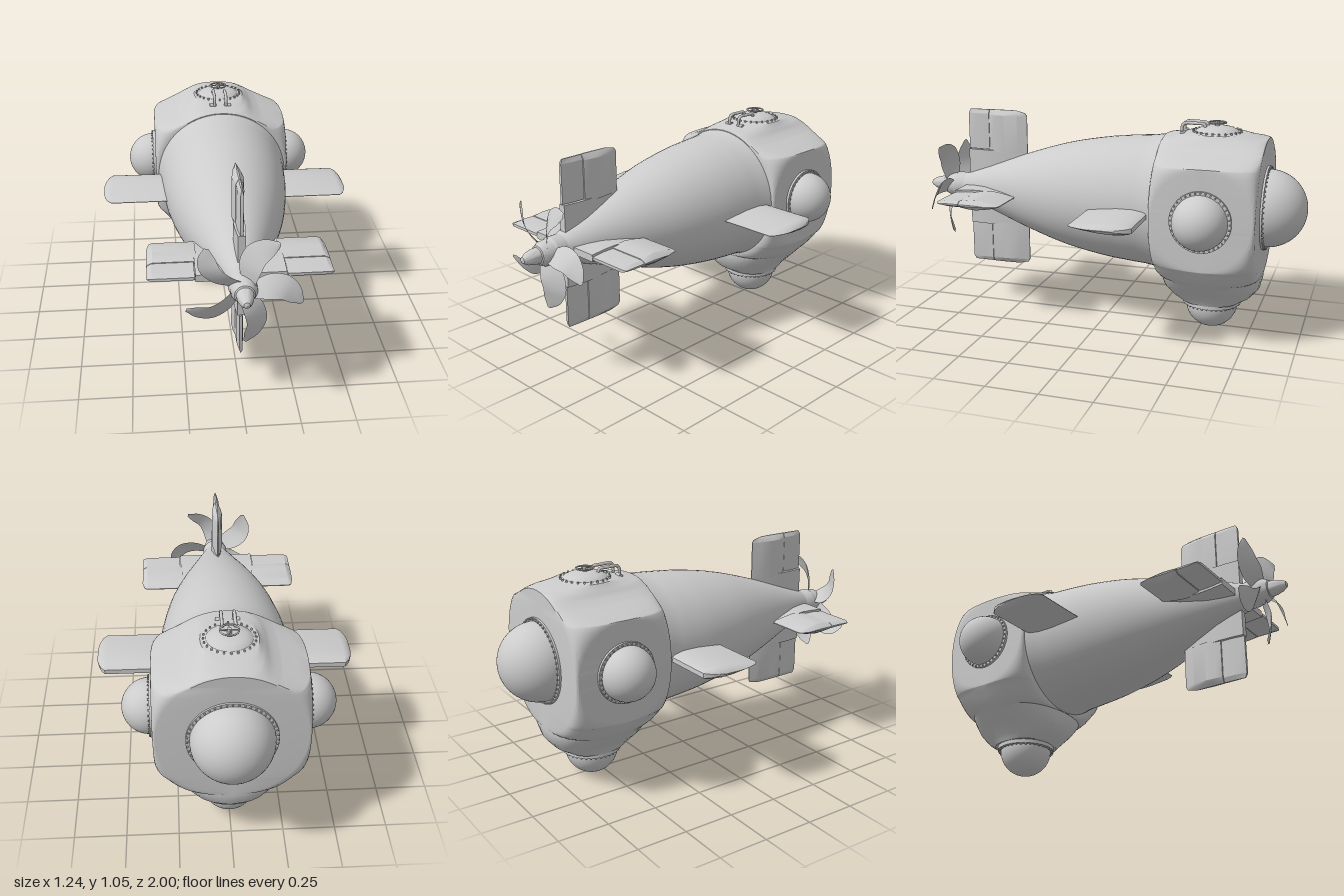
import * as THREE from 'three';
import { toCreasedNormals } from 'three/addons/utils/BufferGeometryUtils.js';

const grey = new THREE.MeshStandardMaterial({ color: 0xcccccc });
const greyThin = new THREE.MeshStandardMaterial({ color: 0xcccccc, side: THREE.DoubleSide });
const AXIS = 0.64; // height of the hull axis
const HEAD_Z = -0.55; // centre of the head

function add(parent, name, geometry, x = 0, y = 0, z = 0, material = grey) {
  const mesh = new THREE.Mesh(geometry, material);
  mesh.name = name;
  mesh.position.set(x, y, z);
  parent.add(mesh);
  return mesh;
}

// Skin a stack of rings with equal point counts
function loft(rings, closed = true, crease = 0.5) {
  const n = rings[0].length, index = [];
  for (let i = 0; i < rings.length - 1; i++) {
    for (let j = 0; j < (closed ? n : n - 1); j++) {
      const k = (j + 1) % n;
      const a = i * n + j, b = i * n + k, c = b + n, d = a + n;
      index.push(a, d, b, b, d, c);
    }
  }
  const g = new THREE.BufferGeometry();
  g.setAttribute('position', new THREE.Float32BufferAttribute(rings.flat(2), 3));
  g.setIndex(index);
  return toCreasedNormals(g, crease);
}

// Body of revolution about z, profile of [radius, z]
function latheZ(points, segments = 64) {
  const g = new THREE.LatheGeometry(points.map(([r, z]) => new THREE.Vector2(r, z)), segments);
  return g.rotateX(Math.PI / 2);
}

function lookup(table, y, column) {
  let i = 0;
  while (i < table.length - 2 && y > table[i + 1][0]) i++;
  const t = THREE.MathUtils.clamp((y - table[i][0]) / (table[i + 1][0] - table[i][0]), 0, 1);
  return THREE.MathUtils.lerp(table[i][column], table[i + 1][column], t);
}

// Head: flat discs in front, behind and at both sides, with a rounded skin between
function headGeometry() {
  const outline = [ // y, half width, half depth
    [0.155, 0.15, 0.15], [0.185, 0.165, 0.2], [0.23, 0.21, 0.238], [0.28, 0.26, 0.25],
    [0.33, 0.305, 0.25], [0.395, 0.35, 0.25], [0.885, 0.35, 0.25], [0.905, 0.29, 0.25],
    [0.93, 0.22, 0.25], [0.955, 0.175, 0.25], [0.98, 0.148, 0.25], [0.988, 0.14, 0.19], [1.0, 0.13, 0.13],
  ];
  const levels = new Set(outline.map((row) => row[0]));
  for (let k = -14; k <= 14; k++) {
    const s = Math.sin((k / 14) * Math.PI / 2);
    levels.add(+(AXIS + 0.34 * s).toFixed(4));
    levels.add(+(AXIS + 0.245 * s).toFixed(4));
  }
  const ys = [...levels].sort((a, b) => a - b);
  const ring = (y, scale = 1) => {
    const X = lookup(outline, y, 1) * scale, Z = lookup(outline, y, 2) * scale;
    const h = y - AXIS;
    const s = 0.235 * Math.sqrt(Math.max(0, 1 - (h / 0.245) ** 2));
    const f = Math.min(X, Math.sqrt(Math.max(0, 0.34 ** 2 - h * h)) * scale);
    const q = [[X, 0]];
    for (let i = 0; i <= 8; i++) {
      const t = i / 8, a = (1 - t) ** 2, b = 2 * t * (1 - t), c = t * t;
      q.push([a * X + b * X + c * f, a * s + b * Z + c * Z]);
    }
    q.push([0, Z]);
    const r = [...q].reverse();
    return [
      ...q,
      ...r.slice(1).map(([x, z]) => [-x, z]),
      ...q.slice(1).map(([x, z]) => [-x, -z]),
      ...r.slice(1, -1).map(([x, z]) => [x, -z]),
    ].map(([x, z]) => [x, y, z]);
  };
  return loft([ring(0.155, 0.001), ...ys.map((y) => ring(y)), ring(1.0, 0.001)]);
}

// Fin growing along +y; stations are [span, lead z, trail z, half thickness]
function finGeometry(stations, profile) {
  return loft(stations.map(([span, lead, trail, thick]) => {
    const side = profile.map(([u, t]) => [t * thick, span, lead + u * (trail - lead)]);
    const back = side.slice().reverse().map(([x, y, z]) => [-x, y, z]);
    return [...side, ...back];
  }), true, 0.45);
}

// Glass dome on a bolted flange, facing +y
function porthole(name, r, flange, boltCount) {
  const g = new THREE.Group();
  g.name = name;
  add(g, 'flange', new THREE.CylinderGeometry(r + 0.016, r + 0.016, flange, 64), 0, flange / 2);
  add(g, 'dome', new THREE.SphereGeometry(r, 48, 20, 0, Math.PI * 2, 0, Math.PI / 2), 0, flange);
  const bolt = new THREE.CylinderGeometry(0.0045, 0.0045, 0.008, 6);
  for (let i = 0; i < boltCount; i++) {
    const a = (i / boltCount) * Math.PI * 2;
    add(g, 'bolt', bolt, Math.cos(a) * (r + 0.009), flange + 0.003, Math.sin(a) * (r + 0.009));
  }
  return g;
}

function bladeGeometry() {
  const edge = (pts) => new THREE.CatmullRomCurve3(pts.map((p) => new THREE.Vector3(...p))).getPoints(20);
  const a = edge([[-0.01, 0.04, 0.845], [-0.018, 0.125, 0.84], [0.017, 0.2, 0.845], [0.084, 0.232, 0.855], [0.148, 0.225, 0.87]]);
  const b = edge([[0.045, 0.03, 0.89], [0.066, 0.094, 0.905], [0.087, 0.138, 0.9], [0.12, 0.168, 0.89], [0.152, 0.208, 0.875]]);
  return loft(a.map((p, i) => [0, 0.25, 0.5, 0.75, 1].map((t) => {
    const v = p.clone().lerp(b[i], t);
    return [v.x, v.y, v.z + 0.012 * t * (1 - t)];
  })), false, 1);
}

export function createModel() {
  const model = new THREE.Group();
  model.name = 'submarine';

  // Hull
  add(model, 'head', headGeometry(), 0, 0, HEAD_Z);
  const hull = new THREE.SplineCurve([
    [0.338, -0.31], [0.326, -0.24], [0.319, -0.15], [0.303, 0], [0.265, 0.2], [0.205, 0.4], [0.133, 0.6], [0.066, 0.785],
  ].map((p) => new THREE.Vector2(...p))).getPoints(48).map((p) => [p.x, p.y]);
  add(model, 'tailHull', latheZ(hull), 0, AXIS);

  // Domes
  const front = porthole('frontDome', 0.19, 0.01, 48);
  front.position.set(0, AXIS, -0.8);
  front.rotation.x = -Math.PI / 2;
  const bottom = porthole('bottomDome', 0.13, 0.02, 36);
  bottom.position.set(0, 0.155, HEAD_Z);
  bottom.rotation.x = Math.PI;
  model.add(front, bottom);
  for (const s of [-1, 1]) {
    const side = porthole(s > 0 ? 'leftDome' : 'rightDome', 0.13, 0.012, 36);
    side.position.set(s * 0.35, AXIS, HEAD_Z);
    side.rotation.z = -s * Math.PI / 2;
    model.add(side);
  }

  // Top hatch with wheel and hinge arms
  const hatch = new THREE.Group();
  hatch.name = 'hatch';
  hatch.position.set(0, 0.995, HEAD_Z);
  model.add(hatch);
  const lid = [[0.128, -0.02], [0.128, 0.004], [0.104, 0.01], [0.1, 0.015], [0.075, 0.027], [0.04, 0.034], [0, 0.036]];
  const lidGeometry = new THREE.LatheGeometry(lid.map((p) => new THREE.Vector2(...p)), 48);
  add(hatch, 'lid', toCreasedNormals(lidGeometry, 0.5));
  for (let i = 0; i < 24; i++) {
    const a = (i / 24) * Math.PI * 2;
    add(hatch, 'bolt', new THREE.CylinderGeometry(0.005, 0.005, 0.01, 6), Math.cos(a) * 0.116, 0.01, Math.sin(a) * 0.116);
  }
  add(hatch, 'wheelRim', new THREE.TorusGeometry(0.042, 0.004, 8, 32).rotateX(Math.PI / 2), 0, 0.05);
  add(hatch, 'wheelHub', new THREE.CylinderGeometry(0.01, 0.012, 0.03, 12), 0, 0.043);
  for (const a of [0, Math.PI / 2]) {
    add(hatch, 'wheelSpoke', new THREE.BoxGeometry(0.084, 0.005, 0.006), 0, 0.05).rotation.y = a;
  }
  for (const s of [-1, 1]) {
    const path = new THREE.CatmullRomCurve3([
      [0.03, 0.022, 0.05], [0.03, 0.042, 0.06], [0.03, 0.045, 0.1], [0.03, 0.043, 0.155], [0.03, 0.03, 0.166], [0.03, -0.02, 0.166],
    ].map(([x, y, z]) => new THREE.Vector3(s * x, y, z)));
    add(hatch, 'hingeArm', new THREE.TubeGeometry(path, 32, 0.008, 8));
    add(hatch, 'hingePin', new THREE.CylinderGeometry(0.011, 0.011, 0.035, 12).rotateZ(Math.PI / 2), s * 0.038, -0.003, 0.16);
  }

  // Side wings
  const blunt = [[0, 0.45], [0.06, 0.75], [0.25, 1], [0.5, 0.9], [0.8, 0.45], [1, 0.05]];
  const wing = finGeometry([
    [0.25, -0.29, 0.012, 0.026], [0.58, -0.29, 0.012, 0.026], [0.6, -0.265, -0.01, 0.02],
    [0.614, -0.225, -0.05, 0.01], [0.621, -0.19, -0.09, 0.001], [0.621, -0.14, -0.139, 0],
  ], blunt);
  for (const s of [-1, 1]) {
    const m = add(model, s > 0 ? 'leftWing' : 'rightWing', wing, 0, AXIS);
    m.rotation.z = -s * Math.PI / 2;
  }

  // Four tail fins, each with a thinner control flap
  const pointed = [[0, 0.08], [0.25, 0.6], [0.6, 1], [0.8, 0.9], [1, 0.65]];
  const root = finGeometry([[0.04, 0.44, 0.765, 0.026], [0.2, 0.44, 0.765, 0.026], [0.2, 0.6, 0.601, 0]], pointed);
  const blade = finGeometry([
    [0.19, 0.44, 0.645, 0.026], [0.385, 0.44, 0.645, 0.026], [0.4, 0.45, 0.645, 0.016],
    [0.412, 0.5, 0.645, 0.004], [0.412, 0.56, 0.561, 0],
  ], pointed);
  const flap = finGeometry([
    [0.203, 0.648, 0.765, 0.015], [0.39, 0.648, 0.765, 0.015], [0.411, 0.648, 0.755, 0.004], [0.411, 0.7, 0.701, 0],
  ], [[0, 1], [0.5, 0.95], [1, 0.45]]);
  ['topFin', 'rightFin', 'bottomFin', 'leftFin'].forEach((name, i) => {
    const fin = new THREE.Group();
    fin.name = name;
    fin.position.y = AXIS;
    fin.rotation.z = (i * Math.PI) / 2;
    add(fin, 'finRoot', root);
    add(fin, 'finBlade', blade);
    add(fin, 'controlFlap', flap);
    model.add(fin);
  });

  // Propeller
  const propeller = new THREE.Group();
  propeller.name = 'propeller';
  propeller.position.y = AXIS;
  model.add(propeller);
  const hub = [
    [0, 0.77], [0.066, 0.78], [0.066, 0.84], [0.06, 0.85], [0.058, 0.885], [0.045, 0.912],
    [0.038, 0.915], [0.036, 0.94], [0.028, 0.97], [0.014, 0.994], [0, 1.0],
  ];
  add(propeller, 'hub', toCreasedNormals(latheZ(hub, 32), 0.5));
  const propBlade = bladeGeometry();
  for (let i = 0; i < 5; i++) {
    add(propeller, 'blade', propBlade, 0, 0, 0, greyThin).rotation.z = (-i * Math.PI * 2) / 5;
  }
  return model;
}
